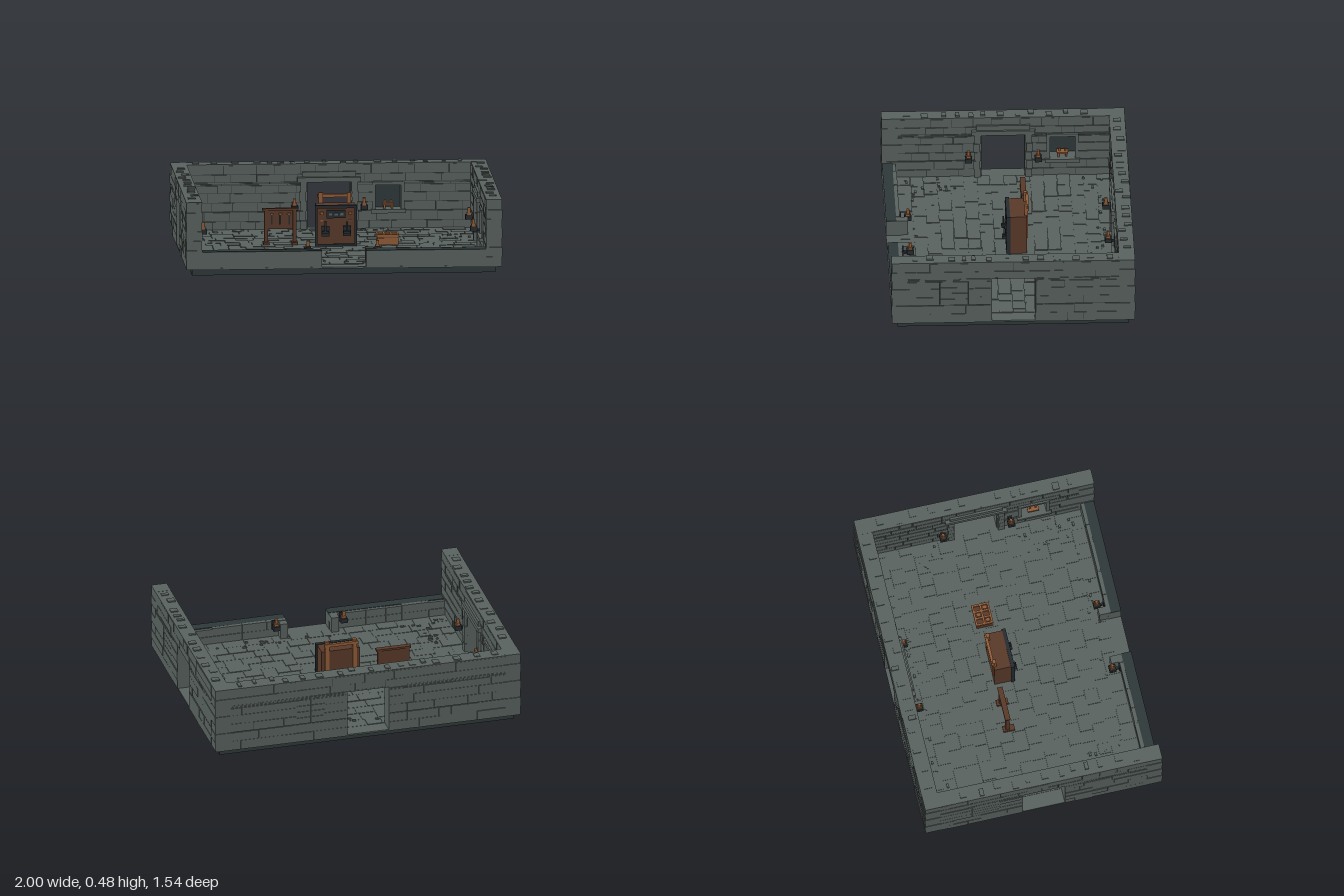
import * as THREE from 'three';
import { mergeGeometries } from 'three/addons/utils/BufferGeometryUtils.js';

const mat = (name, color) => {
  const m = new THREE.MeshStandardMaterial({ color });
  m.name = name;
  return m;
};

export function createModel() {
  const stone = mat('stone', 0x59625f), mortar = mat('mortar', 0x343d3c), dark = mat('dark stone', 0x2f393a);
  const brown = mat('brown wood', 0x5a3a2a), wood = mat('light wood', 0x925d39), iron = mat('iron', 0x262c30);

  let seed = 7;
  const rnd = (a = 0, b = 1) => {
    seed = (seed * 16807) % 2147483647;
    return a + (b - a) * seed / 2147483647;
  };

  // box from its lower and upper limits
  const box = (x0, x1, y0, y1, z0, z1) =>
    new THREE.BoxGeometry(x1 - x0, y1 - y0, z1 - z0).translate((x0 + x1) / 2, (y0 + y1) / 2, (z0 + z1) / 2);
  const add = (parent, name, material, boxes) => {
    const mesh = new THREE.Mesh(Array.isArray(boxes) ? mergeGeometries(boxes) : boxes, material);
    mesh.name = name;
    parent.add(mesh);
    return mesh;
  };
  const group = (parent, name) => {
    const g = new THREE.Group();
    g.name = name;
    parent.add(g);
    return g;
  };

  const model = new THREE.Group();
  model.name = 'stoneRoom';

  // base and floor
  add(model, 'base', dark, box(-0.96, 0.96, 0, 0.041, -0.73, 0.73));
  add(model, 'floorSlab', stone, box(-0.995, 0.995, 0.04, 0.05, -0.765, 0.765));
  const tiles = [];
  for (let r = 0; r < 16; r++) {
    const z = -0.67 + r * 0.084;
    for (let x = -0.9; x < 0.88;) {
      const end = Math.min(0.9, x + rnd(0.07, 0.15));
      tiles.push(box(x, end - 0.003, 0.045, rnd(0.051, 0.056), z, z + 0.081));
      x = end;
    }
  }
  add(model, 'floorTiles', stone, tiles);
  const chips = [];
  for (let i = 0; i < 70; i++) {
    const onSide = i % 2, s = rnd() < 0.5 ? -1 : 1;
    const x = onSide ? s * rnd(0.7, 0.87) : rnd(-0.87, 0.87);
    const z = onSide ? rnd(0.25, 0.62) * (rnd() < 0.3 ? -1 : 1) : s * rnd(0.56, 0.63);
    const w = rnd(0.007, 0.014);
    chips.push(box(x - w, x + w, 0.05, rnd(0.057, 0.064), z - 0.007, z + 0.007));
  }
  add(model, 'floorChips', stone, chips);

  // rows of blocks that leave out rectangular holes [u0, u1, y0, y1]
  const Y0 = 0.045, TOP = 0.465, ROWS = 7, H = (TOP - Y0) / ROWS;
  function courses(u0, u1, holes, zIn, sign, gap) {
    const out = [];
    const levels = [...Array(ROWS + 1).keys()].map(i => Y0 + i * H);
    holes.forEach(h => levels.push(h[2], h[3]));
    const ys = levels.filter(y => y >= Y0 && y <= TOP + 1e-6).sort((a, b) => a - b);
    for (let i = 0; i < ys.length - 1; i++) {
      const a = ys[i], b = ys[i + 1];
      if (b - a < 0.008) continue;
      const mid = (a + b) / 2;
      let start = u0;
      const spans = [];
      holes.filter(h => mid > h[2] && mid < h[3]).sort((p, q) => p[0] - q[0])
        .forEach(h => { spans.push([start, h[0]]); start = h[1]; });
      spans.push([start, u1]);
      for (const [s, e] of spans) {
        for (let u = s; u < e - 0.001;) {
          let end = u + rnd(0.08, 0.24);
          if (end > e - 0.05) end = e;
          const z = sign * rnd(0.049, 0.053);
          out.push(box(u + gap, end - gap, a + gap, b - gap, Math.min(zIn, z), Math.max(zIn, z)));
          u = end;
        }
      }
    }
    return out;
  }

  // tall wall along local x, inner face towards +z, with a doorway and a niche
  const D = 0.14, DT = 0.355, N = [0.285, 0.465, 0.17, 0.335];
  function wall(name, u0, u1) {
    const g = group(model, name);
    const s = new THREE.Shape([[u0, Y0], [-D, Y0], [-D, DT], [D, DT], [D, Y0], [u1, Y0], [u1, TOP], [u0, TOP]]
      .map(p => new THREE.Vector2(...p)));
    s.holes.push(new THREE.Path([[N[0], N[2]], [N[0], N[3]], [N[1], N[3]], [N[1], N[2]]]
      .map(p => new THREE.Vector2(...p))));
    add(g, 'wallCore', mortar, new THREE.ExtrudeGeometry(s, { depth: 0.092, bevelEnabled: false }).translate(0, 0, -0.046));
    const door = [-D, D, 0, DT];
    add(g, 'outerBlocks', stone, courses(u0, u1, [door, N], -0.044, -1, 0.0008));
    add(g, 'innerBlocks', stone, courses(u0, u1, [door, N], 0.044, 1, 0.0022));

    // coping with loose stones on top
    const caps = [box(u0, u1, TOP - 0.002, 0.471, -0.05, 0.05)];
    for (let u = u0 + 0.04; u < u1 - 0.05; u += rnd(0.035, 0.1)) {
      const w = rnd(0.02, 0.045), z = rnd(-0.045, 0.0);
      caps.push(box(u, u + w, 0.468, rnd(0.474, 0.481), z, z + 0.048));
      u += w;
    }
    add(g, 'coping', stone, caps);

    // doorway lining and frame
    const f = [box(-0.2, 0.2, DT, 0.385, 0.045, 0.075), box(-0.17, 0.17, 0.387, 0.42, 0.045, 0.065),
      box(-D, D, DT - 0.004, DT + 0.004, -0.05, 0.05)];
    for (const k of [-1, 1]) {
      f.push(box(k * D - 0.004, k * D + 0.004, 0.05, DT, -0.05, 0.05));
      for (let i = 0; i < 5; i++) {
        const x = k * (D + 0.021 + (i % 2) * 0.005);
        f.push(box(x - 0.02, x + 0.02, 0.05 + i * 0.061, 0.109 + i * 0.061, 0.045, 0.07));
      }
    }
    add(g, 'doorFrame', stone, f);

    // niche: dark back, frame, bricked outside and a small wooden stand
    const c = (N[0] + N[1]) / 2;
    add(g, 'nicheBack', dark, box(N[0], N[1], N[2], N[3], -0.04, -0.03));
    const bricks = [];
    for (let i = 0; i < 4; i++) for (let j = 0; j < 2; j++) {
      bricks.push(box(N[0] + j * 0.09 + 0.001, N[0] + j * 0.09 + 0.089, N[2] + i * 0.04125 + 0.001, N[2] + i * 0.04125 + 0.04, -0.051, -0.038));
    }
    add(g, 'nicheBricks', stone, bricks);
    add(g, 'nicheFrame', stone, [
      box(N[0] - 0.02, N[1] + 0.02, N[2] - 0.018, N[2] + 0.006, -0.03, 0.075),
      box(N[0] - 0.012, N[1] + 0.012, N[3] - 0.004, N[3] + 0.016, -0.03, 0.062),
      box(N[0] - 0.012, N[0] + 0.01, N[2], N[3], -0.03, 0.06),
      box(N[1] - 0.01, N[1] + 0.012, N[2], N[3], -0.03, 0.06)]);
    add(g, 'nicheStand', wood, [
      box(c - 0.036, c + 0.036, 0.2, 0.212, 0, 0.05), box(c - 0.03, c - 0.018, 0.176, 0.2, 0.01, 0.04),
      box(c + 0.018, c + 0.03, 0.176, 0.2, 0.01, 0.04), box(c - 0.024, c - 0.012, 0.212, 0.232, 0.02, 0.032),
      box(c + 0.012, c + 0.024, 0.212, 0.232, 0.02, 0.032)]);
    return g;
  }
  wall('backWall', -0.9, 0.9).position.z = -0.718;
  const left = wall('rightWall', -0.67, 0.67);
  left.position.x = -0.948;
  left.rotation.y = Math.PI / 2;
  const right = wall('leftWall', -0.67, 0.67);
  right.position.x = 0.948;
  right.rotation.y = -Math.PI / 2;

  // corner pillars of stacked stones
  const corners = [];
  for (const sx of [-1, 1]) for (const sz of [-1, 1]) {
    for (let i = 0; i < ROWS; i++) {
      const o = i % 2 ? 0 : 0.003, x = sx * 0.948, z = sz * 0.717;
      corners.push(box(x - 0.052 + o, x + 0.052 - o, Y0 + i * H + 0.0005, Y0 + (i + 1) * H - 0.0005, z - 0.052 + o, z + 0.052 - o));
    }
    corners.push(box(sx * 0.948 - 0.051, sx * 0.948 + 0.051, TOP, 0.472, sz * 0.717 - 0.051, sz * 0.717 + 0.051));
  }
  add(model, 'cornerPillars', stone, corners);

  // low front wall with a gap
  const low = [], lowCap = [];
  for (const s of [-1, 1]) {
    const a = s < 0 ? -0.9 : D, b = s < 0 ? -D : 0.9;
    low.push(box(a, b, 0.042, 0.15, 0.69, 0.764));
    lowCap.push(box(a, b, 0.15, 0.156, 0.7, 0.765));
    for (let u = a; u < b - 0.001;) {
      let e = u + rnd(0.1, 0.2);
      if (e > b - 0.05) e = b;
      low.push(box(u + 0.001, e - 0.001, 0.05, 0.1, 0.678, 0.7), box(u + 0.001, e - 0.001, 0.102, rnd(0.15, 0.158), rnd(0.672, 0.68), 0.7));
      u = e;
    }
    const x = s * 0.167;
    low.push(box(x - 0.025, x + 0.025, 0.05, 0.154, 0.625, 0.7));
  }
  add(model, 'lowFrontWall', stone, low);
  add(model, 'lowWallCap', dark, lowCap);

  // wall torches on iron brackets
  function torch(x, z, angle, y) {
    const g = group(model, 'torch');
    g.position.set(x, y, z);
    g.rotation.y = angle;
    add(g, 'torchBracket', iron, [box(-0.022, 0.022, 0, 0.03, -0.022, 0.022), box(-0.008, 0.008, 0, 0.014, -0.05, -0.02),
      box(-0.016, 0.016, -0.02, 0.045, -0.052, -0.042)]);
    add(g, 'torchStick', wood, [box(-0.009, 0.009, 0.03, 0.075, -0.009, 0.009), box(-0.014, 0.014, 0.03, 0.045, -0.014, 0.014)]);
  }
  for (const s of [-1, 1]) {
    torch(s * 0.22, -0.625, 0, 0.18);
    torch(s * 0.22, 0.625, Math.PI, 0.12);
    for (const t of [-1, 1]) torch(s * 0.855, t * 0.22, -s * Math.PI / 2, 0.18);
  }

  // central cabinet
  const cab = group(model, 'cabinet');
  add(cab, 'cabinetBody', brown, box(-0.125, 0.125, 0.05, 0.313, -0.115, 0.003));
  const trim = [box(-0.132, 0.132, 0.298, 0.317, -0.01, 0.014), box(-0.132, 0.132, 0.05, 0.07, -0.01, 0.014),
    box(-0.06, 0.06, 0.235, 0.285, 0, 0.014)];
  const knobs = [], handles = [];
  for (const s of [-1, 1]) {
    trim.push(box(s * 0.125 - 0.008, s * 0.125 + 0.008, 0.05, 0.317, -0.01, 0.014));
    trim.push(box(s * 0.068 - 0.025, s * 0.068 + 0.025, 0.12, 0.185, 0, 0.018));
    handles.push(box(s * 0.068 - 0.022, s * 0.068 + 0.022, 0.142, 0.155, 0.018, 0.04), box(s * 0.068 - 0.006, s * 0.068 + 0.006, 0.15, 0.215, 0.024, 0.032));
    knobs.push(box(s * 0.09 - 0.01, s * 0.09 + 0.01, 0.258, 0.274, 0, 0.014), box(s * 0.09 - 0.008, s * 0.09 + 0.008, 0.215, 0.223, 0, 0.011));
  }
  add(cab, 'cabinetTrim', iron, trim);
  add(cab, 'cabinetHandles', iron, handles);
  add(cab, 'cabinetKnobs', wood, knobs);
  add(cab, 'cabinetDials', stone, [-0.035, 0, 0.035].map(x => box(x - 0.01, x + 0.01, 0.252, 0.267, 0.01, 0.017)));
  add(cab, 'cabinetRail', wood, [box(-0.11, 0.11, 0.348, 0.368, -0.13, -0.112),
    ...[-0.09, 0.09].map(x => box(x - 0.013, x + 0.013, 0.15, 0.38, -0.122, -0.1))]);

  // notice board on two feet
  const board = group(model, 'noticeBoard');
  add(board, 'boardPanel', brown, [box(-0.445, -0.245, 0.15, 0.272, -0.115, -0.1),
    ...[-0.435, -0.255].flatMap(x => [box(x - 0.012, x + 0.012, 0.05, 0.27, -0.118, -0.095), box(x - 0.02, x + 0.02, 0.05, 0.07, -0.135, -0.06)])]);
  add(board, 'boardRail', brown, box(-0.458, -0.232, 0.27, 0.283, -0.124, -0.09));
  add(board, 'boardPegs', wood, [-0.4, -0.345, -0.29].map(x => box(x - 0.012, x + 0.012, 0.243, 0.252, -0.1, -0.088)));
  add(board, 'boardHooks', iron, [-0.4, -0.345, -0.29].map(x => box(x - 0.004, x + 0.004, 0.18, 0.243, -0.1, -0.094)));

  // crate with six compartments
  const crate = group(model, 'crate');
  add(crate, 'crateBody', brown, box(0.265, 0.395, 0.05, 0.108, -0.14, -0.04));
  add(crate, 'crateRim', wood, [
    ...[-0.14, -0.09, -0.04].map(z => box(0.26, 0.4, 0.1, 0.12, z - 0.006, z + 0.006)),
    ...[0.265, 0.308, 0.352, 0.395].map(x => box(x - 0.006, x + 0.006, 0.1, 0.1195, -0.144, -0.036)),
    box(0.262, 0.398, 0.055, 0.095, -0.042, -0.036)]);
  add(crate, 'crateContents', wood, [[0.287, -0.065], [0.33, -0.115], [0.373, -0.065]]
    .map(([x, z]) => box(x - 0.01, x + 0.01, 0.1, 0.116, z - 0.01, z + 0.01)));

  return model;
}
